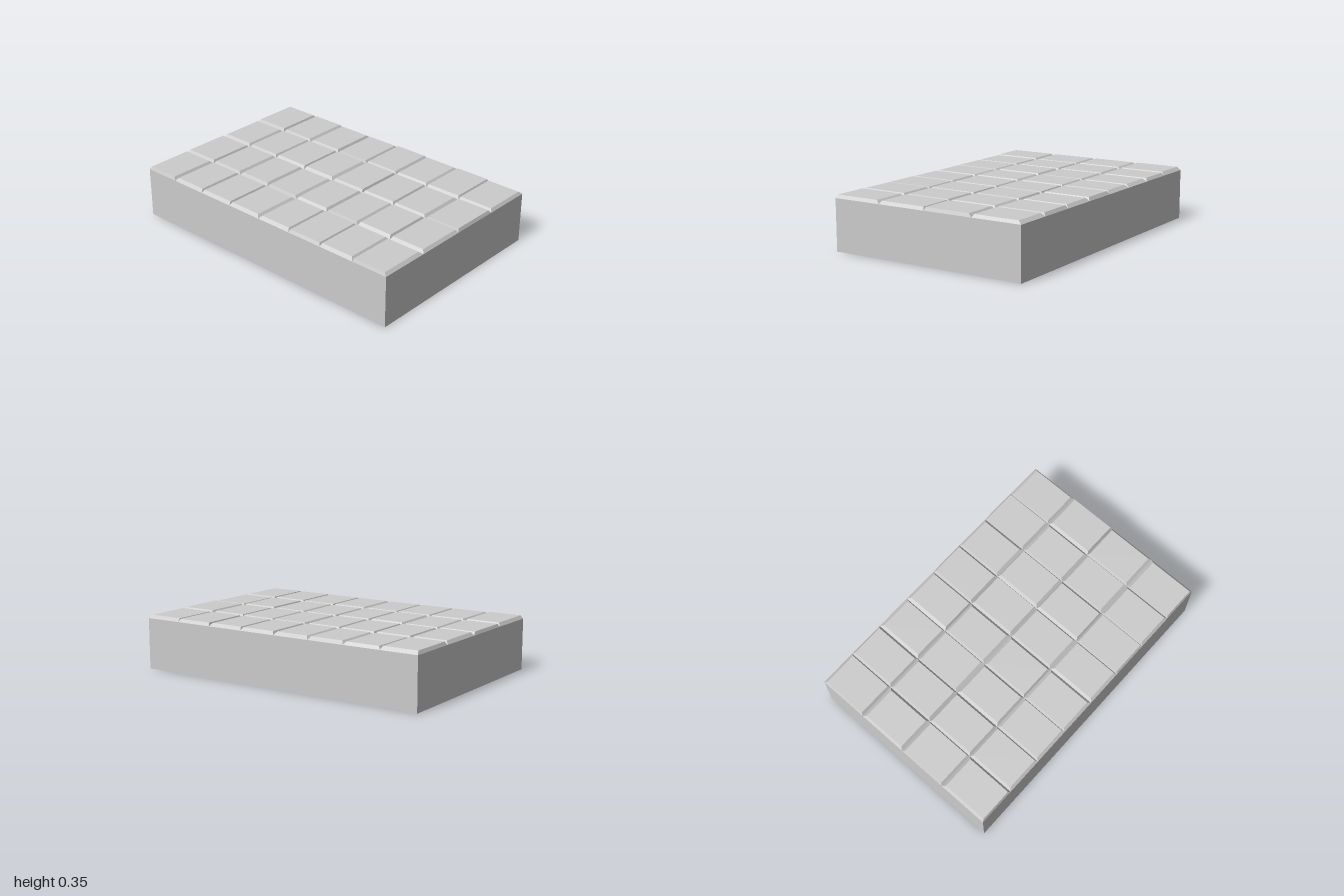
import * as THREE from 'three';

const W = 4 / 3, D = 2, BASE = 0.333, COLS = 4, ROWS = 8;

// Small seeded generator for hand-cut irregularity
function seeded(seed) {
  let s = seed;
  return () => (s = (s * 16807) % 2147483647) / 2147483647;
}

// Paving tile: a box whose top edges are drawn in by a separate amount per side
function tileGeometry(w, d, h, inset) {
  const geo = new THREE.BoxGeometry(w, h, d).toNonIndexed();
  const p = geo.attributes.position;
  for (let i = 0; i < p.count; i++) {
    if (p.getY(i) < 0) continue;
    p.setX(i, p.getX(i) < 0 ? -w / 2 + inset.left : w / 2 - inset.right);
    p.setZ(i, p.getZ(i) < 0 ? -d / 2 + inset.back : d / 2 - inset.front);
  }
  geo.translate(0, h / 2, 0);
  geo.computeVertexNormals();
  return geo;
}

export function createModel() {
  const group = new THREE.Group();
  group.name = 'pavedSlab';
  const material = new THREE.MeshStandardMaterial({ color: 0xcccccc, flatShading: true });

  // Solid block under the tiles
  const block = new THREE.Mesh(new THREE.BoxGeometry(W, BASE, D), material);
  block.name = 'block';
  block.position.y = BASE / 2;
  group.add(block);

  // Grid of bevelled tiles with slightly uneven chamfers
  const tiles = new THREE.Group();
  tiles.name = 'tiles';
  const random = seeded(4711);
  const vary = (min, max) => min + (max - min) * random();
  const w = W / COLS, d = D / ROWS;
  for (let row = 0; row < ROWS; row++) {
    for (let col = 0; col < COLS; col++) {
      const inset = {
        left: vary(0.008, 0.02), right: vary(0.01, 0.025),
        back: vary(0.007, 0.02), front: vary(0.008, 0.018),
      };
      const tile = new THREE.Mesh(tileGeometry(w, d, vary(0.019, 0.022), inset), material);
      tile.name = `tile_${row + 1}_${col + 1}`;
      tile.position.set((col + 0.5) * w - W / 2, BASE, (row + 0.5) * d - D / 2);
      tiles.add(tile);
    }
  }
  group.add(tiles);
  return group;
}
